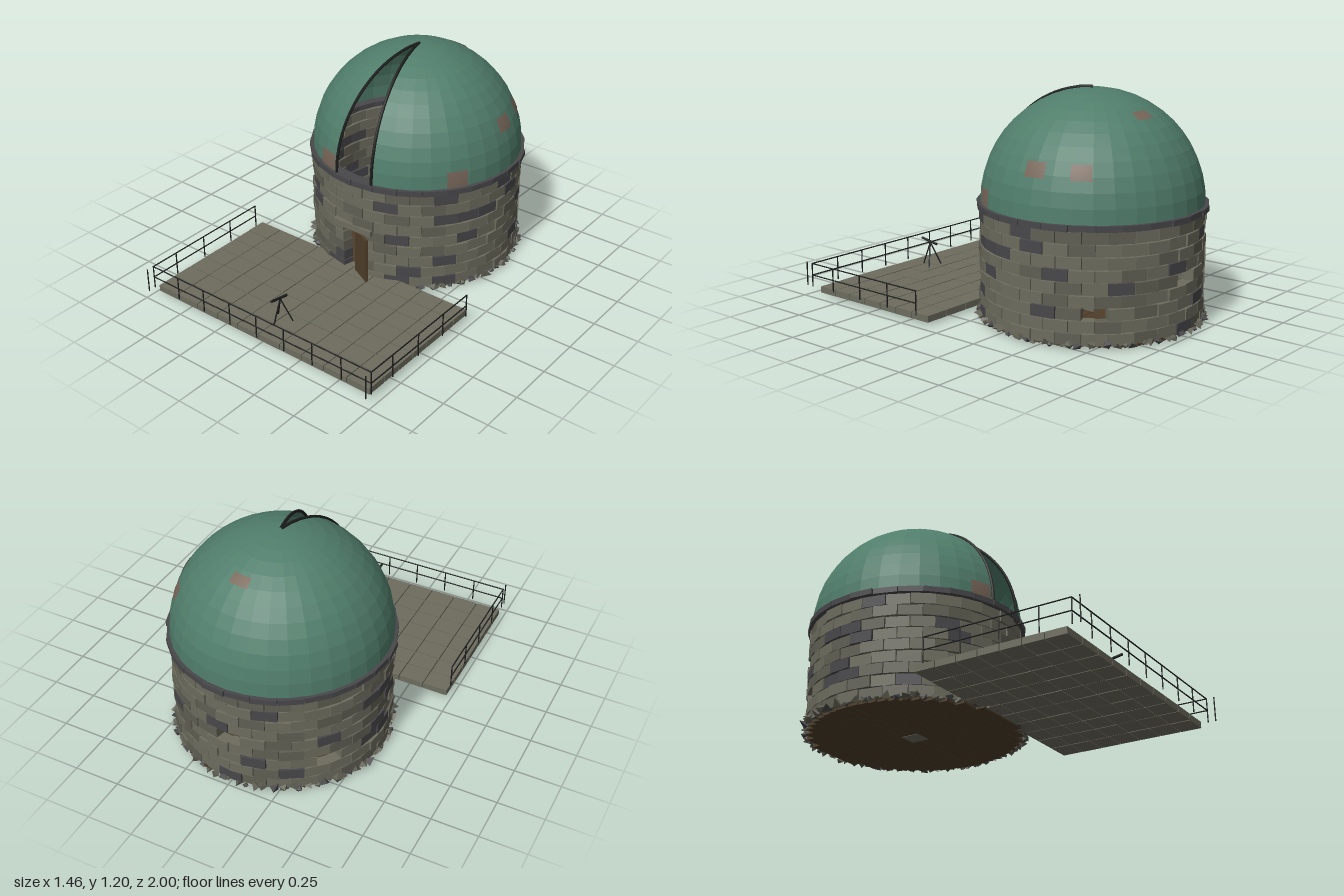
import * as THREE from 'three';
import { mergeGeometries } from 'three/addons/utils/BufferGeometryUtils.js';

const mat = (name, color, extra = {}) => {
  const m = new THREE.MeshStandardMaterial({ color, ...extra });
  m.name = name;
  return m;
};

export function createModel() {
  const M = {
    stone: mat('stone', 0x6d6c5e),
    mid: mat('weathered stone', 0x605f53),
    dark: mat('dark stone', 0x48474a),
    copper: mat('green copper', 0x507d6b, { side: THREE.DoubleSide, flatShading: true }),
    rust: mat('rust patch', 0x776659, { side: THREE.DoubleSide }),
    iron: mat('black iron', 0x1c1d1d),
    wood: mat('wood', 0x4f3e29),
    brass: mat('brass', 0x6b4a2c),
  };
  const group = new THREE.Group();
  let seed = 11;
  const rnd = () => (seed = (seed * 16807) % 2147483647) / 2147483647;
  const jit = (a) => (rnd() - 0.5) * 2 * a;
  const CZ = -0.4, R = 0.575, DOME_Y = 0.618;

  const add = (name, geo, m) => {
    const mesh = new THREE.Mesh(geo, m);
    mesh.name = name;
    group.add(mesh);
    return mesh;
  };
  const box = (w, h, d, x, y, z) => new THREE.BoxGeometry(w, h, d).translate(x, y, z);
  const rod = (a, b, r, sides = 6) => {
    const p = new THREE.Vector3(...a), q = new THREE.Vector3(...b), d = q.clone().sub(p);
    const g = new THREE.CylinderGeometry(r, r, d.length(), sides);
    g.applyQuaternion(new THREE.Quaternion().setFromUnitVectors(new THREE.Vector3(0, 1, 0), d.normalize()));
    return g.translate(...p.add(q).multiplyScalar(0.5).toArray());
  };
  // Block on the tower circle between two angles (0 = front)
  const arcBlock = (a0, a1, y, h, outer, depth, gap) => {
    const mid = (a0 + a1) / 2;
    return new THREE.BoxGeometry((a1 - a0) * outer - gap, h, depth)
      .translate(0, y, outer - depth / 2)
      .rotateY(mid).translate(0, 0, CZ);
  };

  // Brick courses, with a doorway and three small openings
  const bricks = { stone: [], mid: [], dark: [] };
  const N = 28, ROWS = 9, PITCH = 0.0627, STEP = (Math.PI * 2) / N, DOOR = 0.11;
  const openings = [[4, Math.PI], [2, 2.34], [2, -2.34]];
  for (let row = 0; row < ROWS; row++) {
    const y = 0.022 + PITCH * (row + 0.5);
    for (let i = 0; i < N; i++) {
      const c = (i - N / 2 + (row % 2) * 0.5) * STEP;
      let a0 = c - STEP / 2, a1 = c + STEP / 2;
      const off = (t) => Math.abs(Math.atan2(Math.sin(c - t), Math.cos(c - t)));
      if (openings.some(([r, t]) => r === row && off(t) < STEP * 0.5)) continue;
      if (row < 5 && a0 < DOOR && a1 > -DOOR) {
        if (c > 0.01) a0 = DOOR;
        else if (c < -0.01) a1 = -DOOR;
        else continue;
        if (a1 - a0 < 0.03) continue;
      }
      const k = rnd();
      const key = k < 0.13 ? 'dark' : k < 0.45 ? 'mid' : 'stone';
      bricks[key].push(arcBlock(a0, a1, y, PITCH - 0.005, R + jit(0.006), 0.06, 0.004));
    }
  }
  for (const key in bricks) add(`${key}Bricks`, mergeGeometries(bricks[key]), M[key]);

  // Cornice ring under the dome
  const ring = [];
  for (let i = 0; i < N; i++)
    ring.push(arcBlock(i * STEP, (i + 1) * STEP, 0.603, 0.03, 0.592 + jit(0.005), 0.07, 0.004));
  add('corniceRing', mergeGeometries(ring), M.dark);

  // Rubble around the foot of the wall
  const rubble = { mid: [], dark: [] };
  for (let i = 0; i < 80; i++) {
    const a = (i / 80) * Math.PI * 2 + jit(0.03);
    if (Math.abs(Math.atan2(Math.sin(a), Math.cos(a))) < 0.13) continue;
    const s = 0.016 + rnd() * 0.016, r = 0.567 + rnd() * 0.02;
    const g = i % 2 ? new THREE.TetrahedronGeometry(s * 1.3) : new THREE.OctahedronGeometry(s);
    g.rotateX(rnd() * 6).rotateY(rnd() * 6).scale(1, 0.8, 1);
    g.computeBoundingBox();
    g.translate(Math.sin(a) * r, -g.boundingBox.min.y + 0.003 + rnd() * 0.012, CZ + Math.cos(a) * r);
    rubble[i % 3 ? 'mid' : 'dark'].push(g);
  }
  for (const key in rubble) add(`${key}Rubble`, mergeGeometries(rubble[key]), M[key]);

  // Copper dome with a wedge-shaped slit at the front
  const SLIT = 0.2;
  add('dome', new THREE.SphereGeometry(R, 32, 12, Math.PI / 2 + SLIT, Math.PI * 2 - SLIT * 2, 0, Math.PI / 2), M.copper)
    .position.set(0, DOME_Y, CZ);

  // Iron trim along both slit edges
  for (const s of [-1, 1]) {
    const pts = [];
    for (let i = 0; i <= 14; i++) {
      const t = (i / 14) * Math.PI / 2, r = R + 0.003;
      pts.push(new THREE.Vector3(s * Math.sin(SLIT) * Math.sin(t) * r, DOME_Y + Math.cos(t) * r, CZ + Math.cos(SLIT) * Math.sin(t) * r));
    }
    add('slitTrim', new THREE.TubeGeometry(new THREE.CatmullRomCurve3(pts), 28, 0.008, 6), M.iron);
  }

  // Rust patches on the dome: centre offset from dome centre, angular width and height
  for (const [x, y, z, w, h] of [
    [-0.19, 0.045, 0.54, 0.22, 0.16], [0.48, 0.045, 0.31, 0.2, 0.16], [0.52, 0.24, -0.05, 0.19, 0.14],
    [0.447, 0.24, -0.27, 0.18, 0.14], [0.04, 0.47, -0.33, 0.18, 0.1]]) {
    const phi = Math.atan2(z, -x), rad = Math.hypot(x, z), theta = Math.atan2(rad, y);
    const dp = w * R / Math.max(rad, 0.2) / 2;
    add('rustPatch', new THREE.SphereGeometry(R + 0.002, 4, 3, phi - dp, dp * 2, theta - h / 2, h), M.rust)
      .position.set(0, DOME_Y, CZ);
  }

  // Round plank floor
  const planks = [];
  for (let i = 0; i < 11; i++) {
    const z = -0.5 + i * 0.1, zi = Math.min(Math.abs(z), 0.48);
    const half = (v) => Math.sqrt(0.555 ** 2 - Math.min(Math.abs(v), 0.55) ** 2);
    for (const q of [-0.025, 0.025]) {
      const l = half(z + q) * 2;
      if (l > 0.02 && zi) planks.push(box(l, 0.02, 0.05 - (q > 0 ? 0.003 : 0), 0, 0.022, CZ + z + q));
      else planks.push(box(half(q) * 2, 0.02, 0.047, 0, 0.022, CZ + q));
    }
  }
  add('floorPlanks', mergeGeometries(planks), M.wood);

  // Pier and main instrument inside the dome
  add('pierBase', box(0.1, 0.12, 0.1, 0, 0.07, CZ), M.stone);
  add('pierColumn', rod([0, 0.12, CZ], [0, 0.52, CZ], 0.02, 8), M.dark);
  add('domeTelescope', rod([0, 0.5, CZ - 0.08], [0, 0.62, CZ - 0.02], 0.03, 12), M.brass);

  // Door standing ajar and the lintel above it
  const door = add('door', new THREE.BoxGeometry(0.132, 0.262, 0.016), M.wood);
  door.position.set(0.07, 0.18, 0.193);
  door.rotation.y = -0.46;
  add('lintel', box(0.25, 0.034, 0.06, 0, 0.328, 0.16), M.stone);

  // Paved terrace
  const tiles = [];
  for (let i = 0; i < 10; i++)
    for (let j = 0; j < 7; j++)
      tiles.push(box(0.138, 0.035, 0.112, -0.656 + i * 0.1425, 0.0365 + jit(0.001), 0.168 + j * 0.1172));
  add('terraceTiles', mergeGeometries(tiles), M.stone);

  // Iron railing on three sides
  const rails = [], W = 0.728, ZF = 0.955, r = 0.0035;
  for (let i = 0; i < 9; i++) {
    const x = -W + (i * W) / 4;
    rails.push(rod([x, 0.055, ZF], [x, 0.187, ZF], r));
  }
  for (const s of [-W, W])
    for (let i = 0; i < 5; i++) {
      const z = 0.163 + i * 0.2085;
      rails.push(rod([s, 0.055, z], [s, 0.187, z], r));
    }
  for (const y of [0.12, 0.185]) {
    rails.push(rod([-W, y, ZF], [W, y, ZF], r));
    for (const s of [-W, W]) rails.push(rod([s, y, 0.16], [s, y, ZF], r));
  }
  add('railing', mergeGeometries(rails), M.iron);

  // Small telescope on a tripod
  const tripod = [[-0.05, 0.735], [0.05, 0.735], [0, 0.825]].map(([x, z]) => rod([x, 0.054, z], [0, 0.188, 0.77], 0.004));
  add('tripod', mergeGeometries(tripod), M.iron);
  add('smallTelescope', rod([0, 0.184, 0.72], [0, 0.205, 0.835], 0.007, 8), M.iron);
  return group;
}
